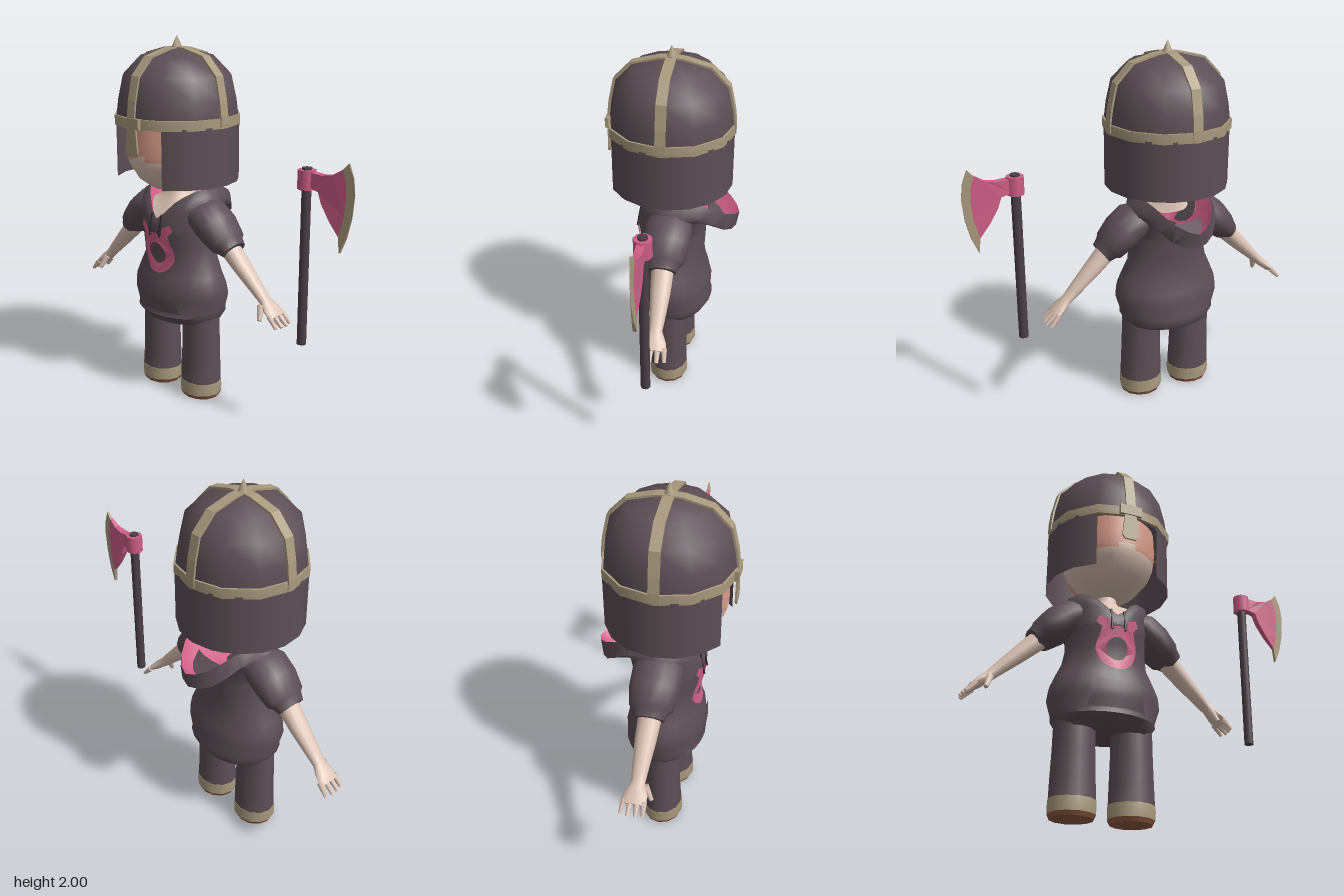
import * as THREE from 'three';
import { toCreasedNormals } from 'three/addons/utils/BufferGeometryUtils.js';

const V = (x, y, z) => new THREE.Vector3(x, y, z);
const mat = (name, color, side = THREE.FrontSide) => {
  const m = new THREE.MeshStandardMaterial({ color, side });
  m.name = name;
  return m;
};

// Skin joining equal-length rings of points, with optional flat end caps
function loft(rings, capStart = false, capEnd = false, crease = 0.9) {
  const n = rings[0].length, pts = rings.flat(), idx = [];
  for (let i = 0; i < rings.length - 1; i++)
    for (let j = 0; j < n; j++) {
      const a = i * n + j, b = i * n + (j + 1) % n;
      idx.push(a, b, b + n, a, b + n, a + n);
    }
  const cap = (start, flip) => {
    const c = V(0, 0, 0);
    for (let j = 0; j < n; j++) c.addScaledVector(pts[start + j], 1 / n);
    pts.push(c);
    for (let j = 0; j < n; j++) {
      const a = start + j, b = start + (j + 1) % n;
      idx.push(pts.length - 1, flip ? b : a, flip ? a : b);
    }
  };
  const last = (rings.length - 1) * n;
  if (capStart) cap(0, true);
  if (capEnd) cap(last, false);
  const g = new THREE.BufferGeometry().setFromPoints(pts);
  g.setIndex(idx);
  return toCreasedNormals(g, crease);
}

// Level ellipse from [y, halfWidth, zFront, zBack]
const level = (cx, n) => ([y, w, f, b]) => Array.from({ length: n }, (_, j) => {
  const t = j / n * Math.PI * 2;
  return V(cx + Math.sin(t) * w, y, (f + b) / 2 + Math.cos(t) * (f - b) / 2);
});

// Ellipse [x, y, z, r, rz] square to a limb running along d
const across = (d, n) => ([x, y, z, r, rz]) => {
  const u = d.clone().cross(V(0, 0, 1));
  return Array.from({ length: n }, (_, j) => {
    const t = j / n * Math.PI * 2;
    return V(x, y, z + Math.cos(t) * rz).addScaledVector(u, Math.sin(t) * r);
  });
};

// Closed smooth ring from points on the model's left half, front to back
function mirrored(half, n = 24) {
  const a = half.map(p => V(...p));
  const b = half.slice(1, -1).reverse().map(([x, y, z]) => V(-x, y, z));
  const curve = new THREE.CatmullRomCurve3([...a, ...b], true);
  return Array.from({ length: n }, (_, i) => curve.getPoint(i / n));
}

const TORSO = [[0.445, 0.24, 0.165, -0.19], [0.495, 0.275, 0.21, -0.22], [0.52, 0.275, 0.2, -0.212],
  [0.6, 0.3, 0.21, -0.215], [0.66, 0.293, 0.205, -0.2], [0.72, 0.268, 0.185, -0.18],
  [0.8, 0.23, 0.165, -0.17], [0.88, 0.215, 0.185, -0.175], [0.98, 0.215, 0.2, -0.18]];

// Depth of the hoodie front at a point
function frontZ(x, y) {
  let i = 0;
  while (i < TORSO.length - 2 && TORSO[i + 1][0] < y) i++;
  const p = TORSO[i], q = TORSO[i + 1];
  const k = THREE.MathUtils.clamp((y - p[0]) / (q[0] - p[0]), 0, 1);
  const [w, f, b] = [1, 2, 3].map(c => p[c] + (q[c] - p[c]) * k);
  return (f + b) / 2 + (f - b) / 2 * Math.sqrt(Math.max(0, 1 - (x / w) ** 2));
}
function drape(g, lift) {
  const p = g.attributes.position;
  for (let i = 0; i < p.count; i++) p.setZ(i, frontZ(p.getX(i), p.getY(i)) + lift);
  g.computeVertexNormals();
  return g;
}

export function createModel() {
  const root = new THREE.Group(), body = new THREE.Group(), axe = new THREE.Group();
  body.name = 'figure';
  body.position.x = -0.195;
  axe.name = 'axe';
  root.add(body, axe);

  const cloth = mat('charcoal', 0x5c4f55, THREE.DoubleSide);
  const skin = mat('pale skin', 0xdcc3b5);
  const blush = mat('rosy skin', 0xd59a88);
  const tan = mat('tan metal', 0xa99a7e, THREE.DoubleSide);
  const pink = mat('pink', 0xcf5f86, THREE.DoubleSide);
  const brown = mat('brown sole', 0x8f5c42);
  const dark = mat('dark cord', 0x2b2529);
  const wood = mat('dark handle', 0x4c4046);

  const add = (name, geo, material, parent = body) => {
    const m = new THREE.Mesh(geo, material);
    m.name = name;
    parent.add(m);
    return m;
  };
  const rod = (name, a, b, r1, r2, material, sides = 6) => {
    const d = b.clone().sub(a);
    const m = add(name, new THREE.CylinderGeometry(r2, r1, d.length(), sides), material);
    m.position.copy(a).add(b).multiplyScalar(0.5);
    m.quaternion.setFromUnitVectors(V(0, 1, 0), d.normalize());
  };

  // Hoodie
  add('hoodieBody', loft(TORSO.map(level(0, 24)), true), cloth);
  const rim = mirrored([[0, 1.04, 0.185], [0.09, 1.13, 0.14], [0.165, 1.19, 0.06], [0.18, 1.195, -0.03],
    [0.165, 1.18, -0.17], [0.1, 1.11, -0.3], [0, 1.07, -0.36]]);
  add('hoodOutside', loft([
    mirrored([[0, 0.97, 0.198], [0.1, 0.97, 0.178], [0.18, 0.97, 0.113], [0.215, 0.97, 0.01],
      [0.18, 0.97, -0.09], [0.11, 0.97, -0.155], [0, 0.97, -0.18]]),
    mirrored([[0, 1.0, 0.2], [0.1, 1.07, 0.175], [0.2, 1.1, 0.1], [0.25, 1.1, 0],
      [0.21, 1.1, -0.1], [0.12, 1.08, -0.17], [0, 1.07, -0.185]]),
    mirrored([[0, 1.02, 0.195], [0.11, 1.11, 0.16], [0.2, 1.16, 0.08], [0.225, 1.16, -0.02],
      [0.2, 1.12, -0.17], [0.12, 1.02, -0.29], [0, 0.985, -0.345]]),
    rim], false, false, 1.3), cloth);
  add('hoodLining', loft([rim,
    mirrored([[0, 1.0, 0.165], [0.07, 1.08, 0.11], [0.12, 1.12, 0.05], [0.13, 1.12, -0.03],
      [0.12, 1.1, -0.13], [0.08, 1.04, -0.24], [0, 1.02, -0.29]]),
    level(0, 24)([1.0, 0.05, 0.05, -0.06])]), pink);
  const pocket = new THREE.PlaneGeometry(1, 1, 10, 6);
  const pp = pocket.attributes.position;
  for (let i = 0; i < pp.count; i++) {
    const v = pp.getY(i) + 0.5;
    pp.setXY(i, pp.getX(i) * (0.305 - 0.06 * v), 0.52 + 0.145 * v);
  }
  add('pocket', drape(pocket, 0.009), cloth);

  // Chest ornament: a ring with two prongs
  const ring = new THREE.Shape().absellipse(0, 0.85, 0.11, 0.115, 0, Math.PI * 2);
  ring.holes.push(new THREE.Path().absellipse(0, 0.847, 0.058, 0.06, 0, Math.PI * 2, true));
  const prongs = [1, -1].map(s => new THREE.Shape([[0.1, 0.88], [0.085, 0.955], [0.115, 0.985], [0.1, 1.018],
    [0.055, 1.0], [0.042, 0.94]].map(([x, y]) => new THREE.Vector2(s * x, y))));
  add('chestRing', drape(new THREE.ShapeGeometry([ring, ...prongs], 16), 0.009), pink);

  // Neck and chest
  add('neck', loft([
    mirrored([[0, 1.03, 0.182], [0.08, 1.11, 0.135], [0.13, 1.13, 0.06], [0.12, 1.12, 0],
      [0.1, 1.11, -0.05], [0.06, 1.1, -0.08], [0, 1.1, -0.09]]),
    ...[[1.155, 0.075, 0.08, -0.085], [1.19, 0.058, 0.068, -0.08], [1.3, 0.055, 0.065, -0.08]].map(level(0, 24))]), skin);

  // Head, rosy above the cheeks and at the nape
  const head = loft([[1.2, 0.06, 0.17, -0.1], [1.215, 0.1, 0.2, -0.15], [1.26, 0.165, 0.26, -0.2],
    [1.33, 0.22, 0.3, -0.24], [1.37, 0.235, 0.312, -0.25], [1.4, 0.24, 0.314, -0.25],
    [1.47, 0.25, 0.312, -0.26], [1.57, 0.25, 0.3, -0.26]].map(level(0, 32)), true, true, 1.2);
  const hp = head.attributes.position, parts = [[], []];
  for (let i = 0; i < hp.count; i += 3) {
    const [x, y, z] = ['getX', 'getY', 'getZ'].map(f => (hp[f](i) + hp[f](i + 1) + hp[f](i + 2)) / 3);
    const rosy = y > 1.4 || (y > 1.37 && Math.abs(x) > 0.06) || z < -0.06;
    parts[rosy ? 1 : 0].push(i, i + 1, i + 2);
  }
  head.setIndex(parts.flat());
  head.addGroup(0, parts[0].length, 0);
  head.addGroup(parts[0].length, parts[1].length, 1);
  add('head', head, [skin, blush]);

  // Helmet
  const helmet = new THREE.Group();
  helmet.name = 'helmet';
  helmet.position.z = 0.018;
  body.add(helmet);
  const dome = [[0.33, 1.55], [0.33, 1.6], [0.32, 1.68], [0.293, 1.8], [0.2, 1.895], [0.06, 1.93], [0, 1.935]];
  add('dome', new THREE.LatheGeometry(dome.map(p => new THREE.Vector2(...p)), 12), cloth, helmet);
  const gap = 0.53;
  add('neckGuard', new THREE.CylinderGeometry(0.333, 0.333, 0.315, 14, 1, true, gap, Math.PI * 2 - 2 * gap),
    cloth, helmet).position.y = 1.3975;
  add('brow', toCreasedNormals(new THREE.LatheGeometry([[0.32, 1.545], [0.341, 1.545], [0.341, 1.597], [0.32, 1.597]]
    .map(p => new THREE.Vector2(...p)), 12), 0.7), tan, helmet);
  const outer = dome.map(([r, y]) => [r && r + 0.009, y + 0.008]);
  const arch = a => [...a, ...a.slice(0, -1).reverse().map(([x, y]) => [-x, y])];
  const strap = new THREE.ExtrudeGeometry(new THREE.Shape([...arch(outer), ...arch(dome).reverse()]
    .map(p => new THREE.Vector2(...p))), { depth: 0.054, bevelEnabled: false }).translate(0, 0, -0.027);
  add('crossStrap', strap, tan, helmet);
  add('lengthStrap', strap, tan, helmet).rotation.y = Math.PI / 2;
  add('spike', new THREE.ConeGeometry(0.032, 0.07, 8), tan, helmet).position.y = 1.965;
  add('noseBracket', new THREE.BoxGeometry(0.12, 0.055, 0.02), tan, helmet).position.set(0, 1.573, 0.335);
  add('noseGuard', new THREE.ExtrudeGeometry(new THREE.Shape([[-0.03, 1.57], [-0.045, 1.42], [-0.03, 1.4],
    [0.03, 1.4], [0.045, 1.42], [0.03, 1.57]].map(p => new THREE.Vector2(...p))),
  { depth: 0.01, bevelEnabled: false }).translate(0, 0, 0.328), tan, helmet);

  for (const s of [1, -1]) {
    const side = s > 0 ? 'left' : 'right';
    // Sleeve, arm and hand
    const d = V(0.82 * s, -0.572, 0).normalize();
    const limb = (list, n) => list.map(([x, ...r]) => across(d, n)([x * s, ...r]));
    add(side + 'Sleeve', loft(limb([[0.1, 1.08, 0, 0.08, 0.11], [0.2, 1.06, 0, 0.1, 0.13], [0.28, 1.0, 0, 0.098, 0.13],
      [0.35, 0.935, 0, 0.08, 0.115], [0.362, 0.925, 0, 0.069, 0.095], [0.395, 0.9, 0, 0.055, 0.078]], 16), true, true), cloth);
    add(side + 'Arm', loft(limb([[0.35, 0.92, 0, 0.055, 0.062], [0.46, 0.812, -0.004, 0.045, 0.055],
      [0.56, 0.715, -0.006, 0.033, 0.042], [0.605, 0.67, -0.006, 0.027, 0.036],
      [0.65, 0.632, -0.008, 0.025, 0.06], [0.688, 0.6, -0.012, 0.016, 0.064]], 12), true, true), skin);
    for (const z of [-0.062, -0.028, 0.006, 0.038])
      rod(side + 'Finger', V(0.67 * s, 0.612, z), V((0.735 - Math.abs(z + 0.015) * 0.3) * s, 0.558, z * 1.15),
        0.017, 0.01, skin);
    rod(side + 'Thumb', V(0.605 * s, 0.655, 0.03), V(0.628 * s, 0.585, 0.066), 0.02, 0.012, skin);

    // Leg, shoe and sole
    const lv = level(0.155 * s, 12);
    add(side + 'Leg', loft([[0.085, 0.121, 0.112, -0.104], [0.2, 0.117, 0.105, -0.1], [0.35, 0.111, 0.104, -0.1],
      [0.56, 0.107, 0.1, -0.1]].map(lv), true, true), cloth);
    add(side + 'Shoe', loft([[0.022, 0.121, 0.115, -0.107], [0.06, 0.124, 0.117, -0.108],
      [0.093, 0.122, 0.114, -0.106]].map(lv), false, true), tan);
    add(side + 'Sole', loft([[0, 0.11, 0.104, -0.097], [0.022, 0.121, 0.115, -0.107]].map(lv), true), brown);

    // Drawstring
    rod(side + 'Drawstring', V(0.036 * s, 1.065, 0.183), V(0.036 * s, 0.945, 0.205), 0.006, 0.006, dark);
  }

  // Axe
  add('handle', new THREE.CylinderGeometry(0.025, 0.025, 0.91, 10), wood, axe).position.set(0.655, 0.96, 0);
  add('socket', new THREE.CylinderGeometry(0.046, 0.046, 0.095, 8).toNonIndexed(), pink, axe).position.set(0.655, 1.357, 0);
  const wedge = pts => {
    const g = new THREE.ExtrudeGeometry(new THREE.Shape(pts.map(p => new THREE.Vector2(...p))),
      { depth: 1, bevelEnabled: false });
    const p = g.attributes.position;
    for (let i = 0; i < p.count; i++) {
      const t = 0.02 * THREE.MathUtils.clamp((0.935 - p.getX(i)) / 0.16, 0.04, 1);
      p.setZ(i, (p.getZ(i) * 2 - 1) * t);
    }
    g.computeVertexNormals();
    return g;
  };
  const seam = [[0.862, 1.435], [0.88, 1.38], [0.886, 1.31], [0.878, 1.21], [0.852, 1.11]];
  add('blade', wedge([[0.68, 1.325], [0.735, 1.31], [0.755, 1.255], [0.8, 1.18], ...seam.slice().reverse(),
    [0.81, 1.402], [0.755, 1.392], [0.68, 1.397]]), pink, axe);
  add('bladeEdge', wedge([...seam, [0.86, 1.03], [0.895, 1.11], [0.92, 1.21], [0.93, 1.32], [0.92, 1.4], [0.892, 1.467]]),
    tan, axe);
  return root;
}
